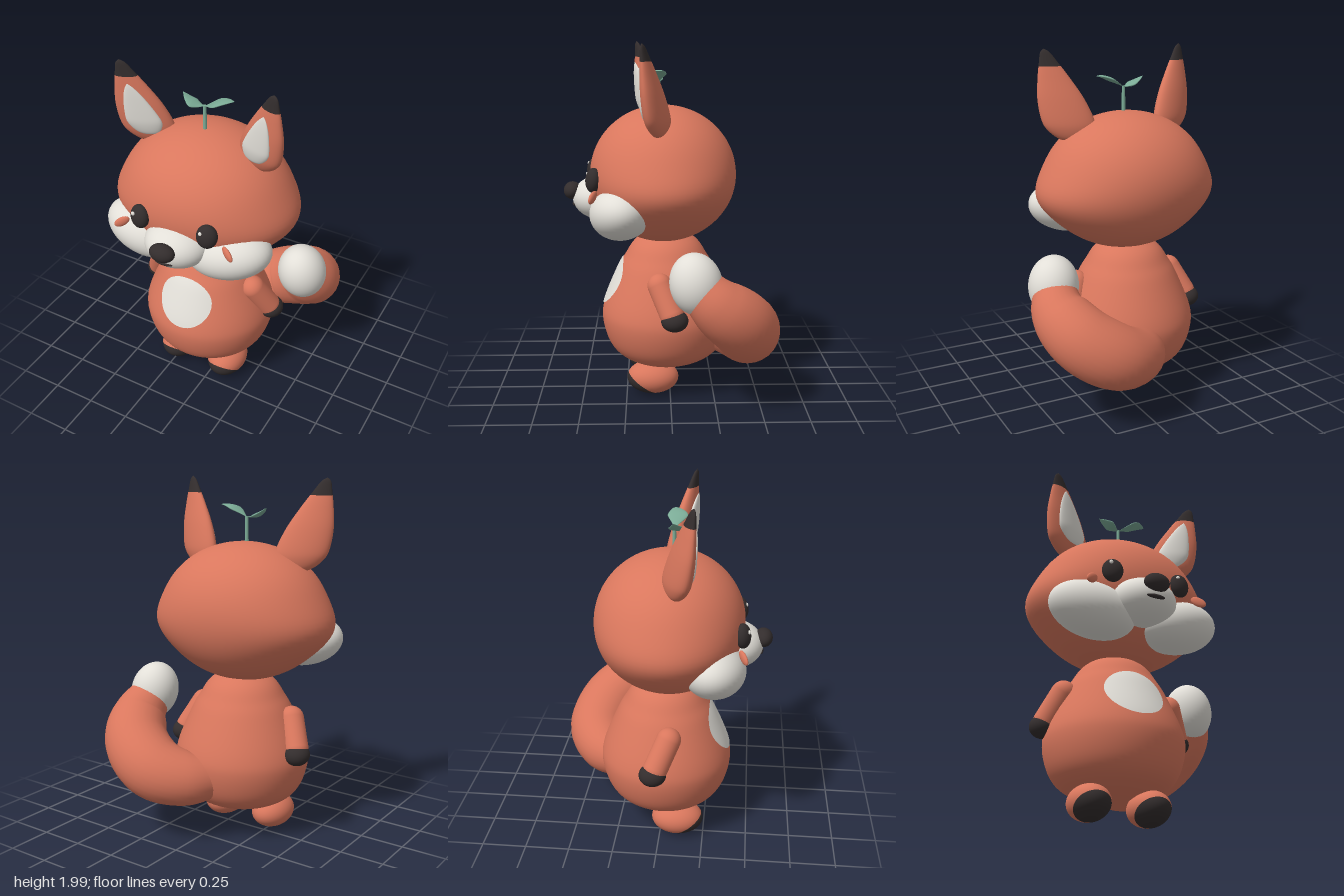
import * as THREE from 'three';
import { mergeVertices } from 'three/addons/utils/BufferGeometryUtils.js';

const mat = (name, color) => Object.assign(new THREE.MeshStandardMaterial({ color }), { name });

const splinePoints = (pairs, n) =>
  new THREE.SplineCurve(pairs.map(([x, y]) => new THREE.Vector2(x, y))).getPoints(n)
    .map(p => new THREE.Vector2(Math.max(p.x, 0), p.y));

// Move every vertex by a rule, then weld and smooth
function reshape(geo, rule) {
  const p = geo.attributes.position, v = new THREE.Vector3();
  for (let i = 0; i < p.count; i++) {
    rule(v.fromBufferAttribute(p, i), i);
    p.setXYZ(i, v.x, v.y, v.z);
  }
  geo.deleteAttribute('uv');
  geo.deleteAttribute('normal');
  const out = mergeVertices(geo, 1e-5);
  out.computeVertexNormals();
  return out;
}

export function createModel() {
  const orange = mat('orange fur', 0xd9775d);
  const white = mat('white fur', 0xe2dfd8);
  const dark = mat('dark', 0x332d2d);
  const green = mat('leaf green', 0x7bab96);

  const model = new THREE.Group();
  model.name = 'fox';
  const trunk = new THREE.Group();
  trunk.name = 'trunk';
  trunk.position.x = -0.085;
  const head = new THREE.Group();
  head.name = 'head';
  head.position.x = -0.085;
  head.rotation.y = 0.045;
  model.add(trunk, head);

  const add = (parent, name, geo, material, pos = [0, 0, 0], rot = [0, 0, 0]) => {
    const m = new THREE.Mesh(geo, material);
    m.name = name;
    m.position.set(...pos);
    m.rotation.set(...rot);
    parent.add(m);
    return m;
  };
  const ball = (parent, name, material, pos, radii, rot) =>
    add(parent, name, new THREE.SphereGeometry(1, 40, 28).scale(...radii), material, pos, rot);

  // Egg-shaped body
  const profile = splinePoints([[0, 0.13], [0.13, 0.145], [0.27, 0.2], [0.345, 0.28], [0.383, 0.41],
    [0.37, 0.52], [0.295, 0.7], [0.245, 0.79], [0.17, 0.89], [0, 0.98]], 60);
  const bodyZ = 0.02, depth = 0.97;
  add(trunk, 'body', reshape(new THREE.LatheGeometry(profile, 56), v => { v.z = v.z * depth + bodyZ; }), orange);
  const bodyRadius = y => {
    const i = profile.findIndex(p => p.y >= y), a = profile[i - 1], b = profile[i];
    return a.x + (b.x - a.x) * (y - a.y) / (b.y - a.y);
  };

  // Chest patch lying on the body surface
  add(trunk, 'chestPatch', reshape(new THREE.RingGeometry(0, 1, 56, 10), v => {
    v.x *= 0.163;
    v.y = 0.645 + v.y * 0.138;
    v.z = bodyZ + depth * Math.sqrt(bodyRadius(v.y) ** 2 - v.x ** 2) + 0.006;
  }), white);

  // Arms, hands and two-tone feet
  const toeAngle = 1.06, toeTilt = 2.29;
  for (const s of [-1, 1]) {
    const side = s > 0 ? 'left' : 'right';
    const from = new THREE.Vector3(s * 0.305, 0.69, 0.06), to = new THREE.Vector3(s * 0.375, 0.545, -0.005);
    const dir = to.clone().sub(from);
    const arm = add(trunk, side + 'Arm', new THREE.CapsuleGeometry(0.068, dir.length(), 12, 28), orange,
      from.clone().add(to).multiplyScalar(0.5).toArray());
    arm.quaternion.setFromUnitVectors(new THREE.Vector3(0, 1, 0), dir.normalize());
    ball(trunk, side + 'Hand', dark, [s * 0.388, 0.515, -0.02], [0.072, 0.062, 0.075]);

    const foot = new THREE.Group();
    foot.name = side + 'Foot';
    foot.position.set(s * 0.165, 0.1, 0.1);
    trunk.add(foot);
    const shell = (start, len) =>
      new THREE.SphereGeometry(1, 40, 24, 0, Math.PI * 2, start, len).rotateX(toeTilt).scale(0.112, 0.095, 0.148);
    add(foot, side + 'Toe', shell(0, toeAngle), dark);
    add(foot, side + 'Heel', shell(toeAngle, Math.PI - toeAngle), orange);
  }

  // Curled tail: a tube with changing radius
  const path = new THREE.CatmullRomCurve3([[-0.06, 0.36, -0.22], [0.05, 0.37, -0.36], [0.21, 0.42, -0.425],
    [0.38, 0.53, -0.37], [0.455, 0.65, -0.24], [0.445, 0.74, -0.15]].map(p => new THREE.Vector3(...p)));
  const radii = splinePoints([[0.12, 0], [0.155, 0.2], [0.18, 0.42], [0.182, 0.62], [0.165, 0.83], [0.122, 1]], 48);
  const around = 28;
  add(model, 'tail', reshape(new THREE.TubeGeometry(path, 48, 1, around), (v, i) => {
    const k = Math.floor(i / (around + 1)), c = path.getPointAt(k / 48);
    v.sub(c).multiplyScalar(radii[k].x).add(c);
  }), orange);
  ball(model, 'tailTip', white, [0.44, 0.765, -0.128], [0.137, 0.167, 0.14], [0.2, 0, 0.15]);

  // Head: rounded, with a bulge at cheek height
  add(head, 'skull', reshape(new THREE.SphereGeometry(1, 64, 48), v => {
    v.y = 1.27 + v.y * 0.385;
    v.x *= 0.48 * (1 + 0.115 * Math.exp(-(((v.y - 1.19) / 0.1) ** 2) / 2));
    v.z = 0.037 + v.z * 0.413;
  }), orange);

  // Muzzle, nose and mouth
  ball(head, 'muzzle', white, [0, 1.135, 0.38], [0.183, 0.127, 0.172]);
  ball(head, 'nose', dark, [0, 1.175, 0.552], [0.071, 0.05, 0.05]);
  ball(head, 'mouth', dark, [0, 1.1, 0.54], [0.052, 0.012, 0.014]);

  // Ear outline, split into fur and dark tip
  const earLine = splinePoints([[0, 0], [0.08, 0.02], [0.13, 0.07], [0.143, 0.13], [0.125, 0.24],
    [0.085, 0.35], [0.052, 0.425], [0.026, 0.48], [0, 0.5]], 64);
  const cut = earLine.findIndex(p => p.y > 0.405);
  const innerLine = splinePoints([[0, 0.065], [0.06, 0.085], [0.092, 0.14], [0.085, 0.2],
    [0.055, 0.29], [0.025, 0.35], [0, 0.38]], 32);

  for (const s of [-1, 1]) {
    const side = s > 0 ? 'left' : 'right';
    // Cheeks, whisker tufts and eyes
    ball(head, side + 'Cheek', white, [s * 0.25, 1.085, 0.285], [0.242, 0.145, 0.168], [0, s * 0.1, s * 0.2]);
    ball(head, side + 'Tuft', orange, [s * 0.315, 1.192, 0.432], [0.046, 0.026, 0.014], [0, -s * 0.5, -s * 0.55]);
    ball(head, side + 'Eye', dark, [s * 0.198, 1.265, 0.43], [0.057, 0.068, 0.042], [-0.1, s * 0.25, 0]);
    ball(head, side + 'EyeGlint', white, [s * 0.198 - 0.022, 1.295, 0.462], [0.011, 0.012, 0.008]);

    // Ears lean outward and slightly forward
    const ear = new THREE.Group();
    ear.name = side + 'Ear';
    ear.position.set(s * 0.3, 1.5, 0.062);
    ear.rotation.y = -s * 0.38;
    head.add(ear);
    const earPart = (name, line, flat, forward, material) =>
      add(ear, name, reshape(new THREE.LatheGeometry(line, 40), v => {
        v.x += s * 0.32 * v.y;
        v.z = v.z * flat + 0.1 * v.y + forward;
      }), material);
    earPart(side + 'EarFur', earLine.slice(0, cut + 1), 0.4, 0, orange);
    earPart(side + 'EarTip', earLine.slice(cut), 0.4, 0, dark);
    earPart(side + 'InnerEar', innerLine, 0.3, 0.042, white);
  }

  // Sprout: stem with two pointed leaves
  add(head, 'stem', new THREE.CylinderGeometry(0.009, 0.012, 0.18, 16), green, [0, 1.7, 0.06]);
  for (const [s, len, wide, rise] of [[-1, 0.125, 0.045, 0.055], [1, 0.17, 0.055, 0.065]]) {
    const line = splinePoints([[0, 0], [0.35, 0.15], [0.9, 0.4], [0.95, 0.55], [0.5, 0.82], [0, 1]], 24);
    add(head, s > 0 ? 'largeLeaf' : 'smallLeaf', reshape(new THREE.LatheGeometry(line, 24), v => {
      const { x, y, z } = v;
      const bend = s > 0 ? Math.sin(y * Math.PI / 2) : y * y;
      v.set(s * y * len, 1.785 + rise * bend - s * x * 0.012, 0.06 + 0.015 * Math.sin(y * Math.PI) + z * wide);
    }), green);
  }
  return model;
}
